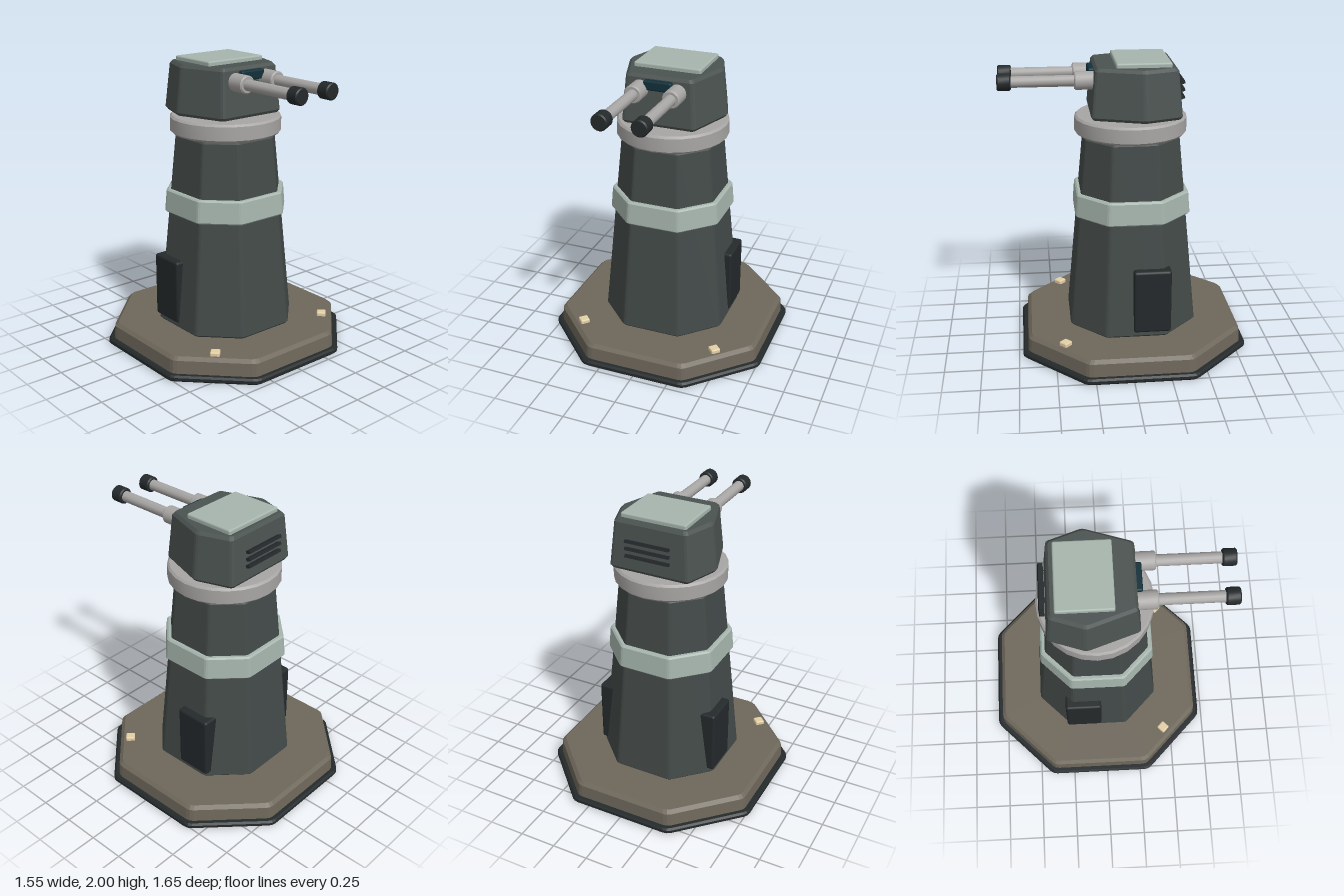
import * as THREE from 'three';
import { RoundedBoxGeometry } from 'three/addons/geometries/RoundedBoxGeometry.js';
import { toCreasedNormals } from 'three/addons/utils/BufferGeometryUtils.js';

const AXIS_Z = -0.05; // centre line of base and tower

const material = (color, flatShading = false) =>
  new THREE.MeshStandardMaterial({ color, flatShading });

const COLORS = {
  black: 0x24292b, brown: 0x6e675b, tower: 0x434a48, head: 0x4b5351,
  pale: 0xa6b5ad, steel: 0xa8a6a4, glass: 0x12303a, lamp: 0xe3cfa6,
};

// Square of half width 1 with cut corners
function octagon(flat = 0.47) {
  const pts = [];
  for (let q = 0; q < 4; q++) {
    const c = Math.round(Math.cos(q * Math.PI / 2)), s = Math.round(Math.sin(q * Math.PI / 2));
    for (const v of [-flat, flat]) pts.push([c - s * v, s + c * v]);
  }
  return pts;
}

// Softens every corner of an [x, z] outline
function softCorners(outline, t) {
  const n = outline.length, out = [];
  outline.forEach((p, i) => {
    const step = (q) => {
      const d = Math.hypot(q[0] - p[0], q[1] - p[1]);
      return [p[0] + (q[0] - p[0]) * t / d, p[1] + (q[1] - p[1]) * t / d];
    };
    const a = step(outline[(i + n - 1) % n]), b = step(outline[(i + 1) % n]);
    out.push(a, [(a[0] + b[0] + 2 * p[0]) / 4, (a[1] + b[1] + 2 * p[1]) / 4], b);
  });
  return out;
}

// Tapered prism with bevelled rims; s0 and s1 scale the outline at bottom and top
function taperedPrism(outline, y0, y1, s0, s1, bevel, inset = bevel) {
  const at = (y) => s0 + (s1 - s0) * (y - y0) / (y1 - y0);
  const rings = [[y0, s0 - inset], [y0 + bevel, at(y0 + bevel)], [y1 - bevel, at(y1 - bevel)], [y1, s1 - inset]]
    .map(([y, s]) => outline.map(([x, z]) => [x * s, y, z * s]));
  const pos = [], n = outline.length;
  const tri = (...corners) => corners.forEach((c) => pos.push(...c));
  for (let i = 0; i < n; i++) {
    const j = (i + 1) % n;
    for (let k = 0; k < 3; k++) {
      const a = rings[k][i], b = rings[k][j], c = rings[k + 1][j], d = rings[k + 1][i];
      tri(a, d, c);
      tri(a, c, b);
    }
    tri([0, y1, 0], rings[3][j], rings[3][i]);
    tri([0, y0, 0], rings[0][i], rings[0][j]);
  }
  const geo = new THREE.BufferGeometry();
  geo.setAttribute('position', new THREE.Float32BufferAttribute(pos, 3));
  geo.computeVertexNormals();
  return geo;
}

// Solid of revolution with a small chamfer on both rims
function chamferedDrum(radius, length, chamfer, segments) {
  const h = length / 2, r = radius, c = chamfer;
  const profile = [[0, -h], [r - c, -h], [r, -h + c], [r, h - c], [r - c, h], [0, h]]
    .map(([x, y]) => new THREE.Vector2(x, y));
  return toCreasedNormals(new THREE.LatheGeometry(profile, segments), 0.6);
}

export function createModel() {
  const model = new THREE.Group();
  const add = (name, geo, color, x = 0, y = 0, z = 0, parent = model, flat = false) => {
    const mesh = new THREE.Mesh(geo, material(color, flat));
    mesh.name = name;
    mesh.position.set(x, y, z);
    parent.add(mesh);
    return mesh;
  };
  const addPrism = (name, color, z, ...args) =>
    add(name, taperedPrism(...args), color, 0, 0, z, model, true);

  // Base and tower share one eight-sided plan
  const plan = softCorners(octagon(), 0.04);
  addPrism('baseSkirt', COLORS.black, AXIS_Z, plan, 0, 0.043, 0.773, 0.773, 0.012);
  addPrism('basePlatform', COLORS.brown, AXIS_Z, plan, 0.01, 0.155, 0.74, 0.73, 0.022);
  addPrism('towerBody', COLORS.tower, AXIS_Z, plan, 0.15, 1.495, 0.437, 0.314, 0.018);
  addPrism('towerBand', COLORS.pale, AXIS_Z, plan, 0.95, 1.11, 0.39, 0.377, 0.01);

  // Turning ring under the head
  add('turretRing', chamferedDrum(0.378, 0.12, 0.014, 24), COLORS.steel, 0, 1.557, AXIS_Z);

  // Six-sided head, widest behind the middle
  const headZ = -0.07;
  const headPlan = softCorners(
    [[0.365, -0.045], [0.25, 0.3], [-0.25, 0.3], [-0.365, -0.045], [-0.28, -0.295], [0.28, -0.295]], 0.02);
  addPrism('turretHead', COLORS.head, headZ, headPlan, 1.635, 1.97, 1, 0.9, 0.02, 0.05);
  add('roofHatch', new RoundedBoxGeometry(0.46, 0.05, 0.362, 2, 0.012), COLORS.pale, 0, 1.975, -0.116);
  add('visor', new RoundedBoxGeometry(0.19, 0.065, 0.08, 2, 0.012), COLORS.glass, 0, 1.913, 0.198);

  // Louvres on the back of the head
  for (let i = 0; i < 3; i++) {
    const louvre = add('backLouvre', new THREE.BoxGeometry(0.305, 0.02, 0.03), COLORS.black,
      0, 1.752 + i * 0.05, -0.378);
    louvre.rotation.x = 0.35;
  }

  for (const side of [1, -1]) {
    // Gun: sleeve, barrel and muzzle along z
    const gun = new THREE.Group();
    gun.name = side > 0 ? 'leftGun' : 'rightGun';
    gun.position.set(side * 0.128, 1.876, 0);
    model.add(gun);
    const parts = [
      ['gunSleeve', 0.06, 0.14, 0.33, COLORS.steel],
      ['gunBarrel', 0.037, 0.3, 0.76, COLORS.steel],
      ['gunMuzzle', 0.055, 0.735, 0.825, COLORS.black],
    ];
    for (const [name, radius, z0, z1, color] of parts) {
      const drum = chamferedDrum(radius, z1 - z0, 0.008, 20);
      add(name, drum, color, 0, 0, (z0 + z1) / 2, gun).rotation.x = Math.PI / 2;
    }

    // Equipment box on the tower flank
    add('sideBox', new RoundedBoxGeometry(0.13, 0.45, 0.255, 2, 0.018), COLORS.black,
      side * 0.381, 0.416, -0.158);

    // Marker lamp on a front corner of the platform
    const lamp = add('markerLamp', new RoundedBoxGeometry(0.065, 0.04, 0.065, 2, 0.01), COLORS.lamp,
      side * 0.488, 0.162, 0.435);
    lamp.rotation.y = Math.PI / 4;
  }

  return model;
}
